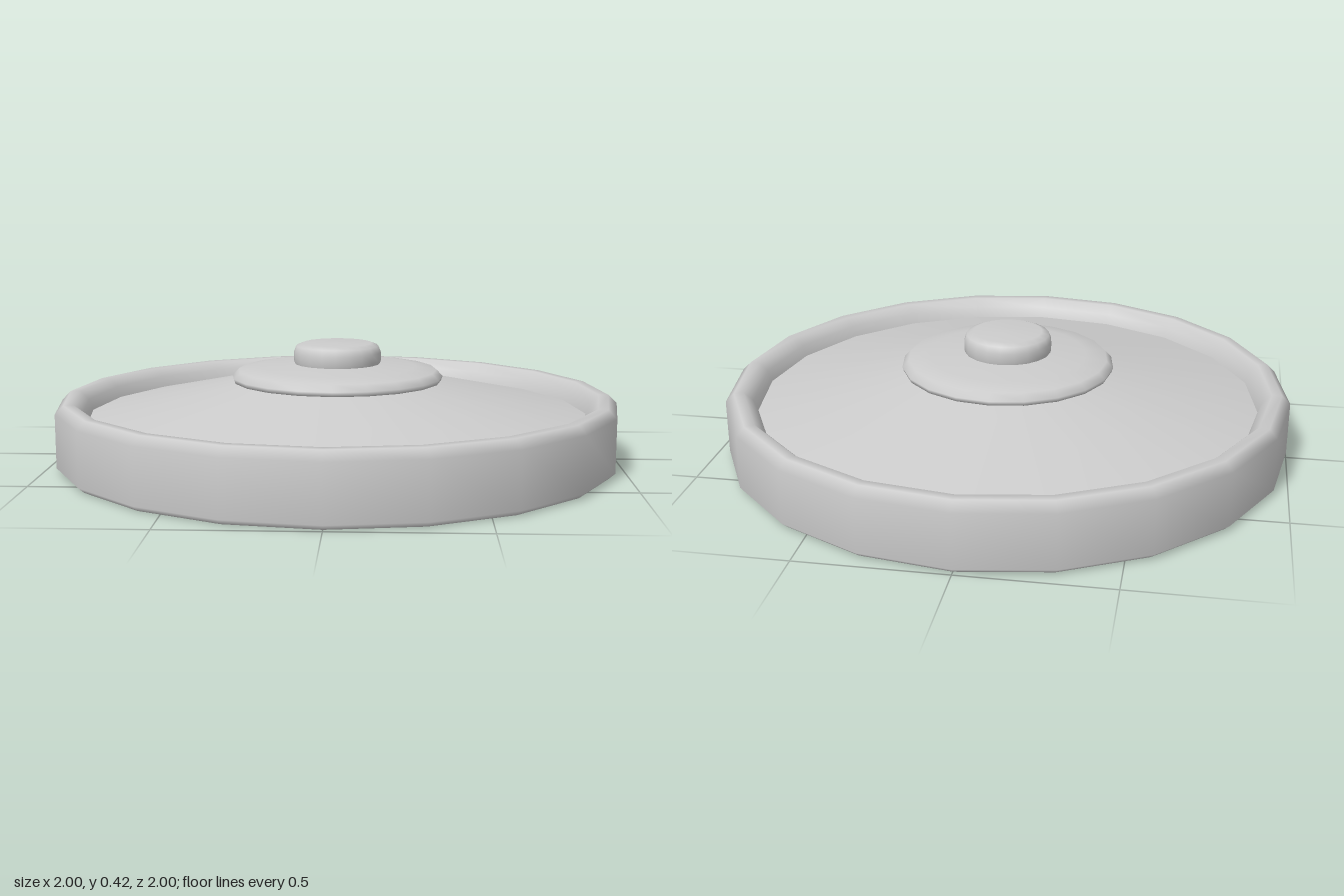
import * as THREE from 'three';

const SIDES = 20;

// Each profile is a list of [radius, height] and gets its own smooth shading,
// so the joints between parts stay crisp.
const PARTS = {
  base: [[0, 0], [0.98, 0]],
  outerRim: [[0.98, 0], [1, 0.018], [1, 0.205], [0.97, 0.235], [0.935, 0.235], [0.905, 0.205], [0.89, 0.166]],
  dish: [[0.89, 0.166], [0.36, 0.282]],
  collar: [[0.35, 0.28], [0.372, 0.284], [0.378, 0.3], [0.355, 0.323], [0.28, 0.335], [0.15, 0.345]],
  knob: [[0.15, 0.335], [0.156, 0.355], [0.156, 0.385], [0.147, 0.408], [0.122, 0.418], [0, 0.42]],
};

export function createModel() {
  const model = new THREE.Group();
  model.name = 'roundCover';
  const material = new THREE.MeshStandardMaterial({ color: 0xcccccc });

  for (const [name, profile] of Object.entries(PARTS)) {
    const points = profile.map(([r, y]) => new THREE.Vector2(r, y));
    const mesh = new THREE.Mesh(new THREE.LatheGeometry(points, SIDES), material);
    mesh.name = name;
    model.add(mesh);
  }
  return model;
}
